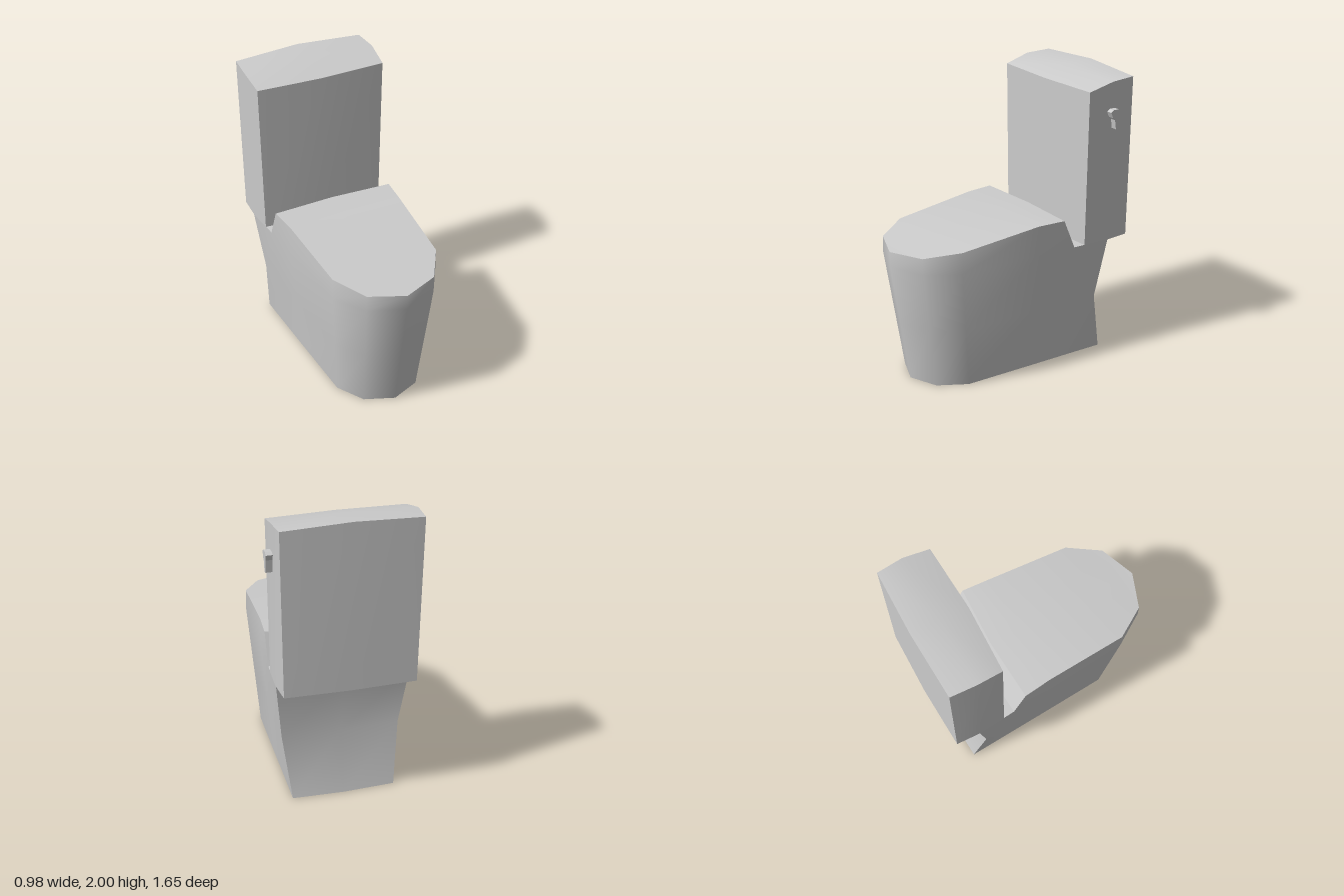
import * as THREE from 'three';
import { toCreasedNormals } from 'three/addons/utils/BufferGeometryUtils.js';

const CX = -0.02; // centre line of bowl and tank

const mirror = ([x, y, z]) => [-x, y, z];
const same = (a, b) => a.every((v, i) => v === b[i]);

// Closed loop from a half outline running front centre -> left side -> back centre
const loop = (half) => [...half, ...half.slice(0, -1).reverse().map(mirror)];

// Row across the model: right edge, centre, left edge
const across = (edge, cy = edge[1], cz = edge[2]) => [mirror(edge), [0, cy, cz], edge];

// Quads between neighbouring rows of points, skipping collapsed triangles
function skin(out, rows) {
  const tri = (a, b, c) => {
    if (!same(a, b) && !same(b, c) && !same(a, c)) out.push(...a, ...b, ...c);
  };
  for (let i = 0; i < rows.length - 1; i++) {
    for (let j = 0; j < rows[i].length - 1; j++) {
      const [a, b] = [rows[i][j], rows[i][j + 1]];
      const [d, c] = [rows[i + 1][j], rows[i + 1][j + 1]];
      tri(a, b, c);
      tri(a, c, d);
    }
  }
}

function toMesh(name, positions, material) {
  const geometry = new THREE.BufferGeometry();
  geometry.setAttribute('position', new THREE.Float32BufferAttribute(positions, 3));
  const mesh = new THREE.Mesh(toCreasedNormals(geometry, 0.8), material);
  mesh.name = name;
  mesh.position.x = CX;
  return mesh;
}

function makeBowl(material) {
  // Half outlines: tip, nose, shoulder, hinge, seat end, back corner, back centre
  const foot = [[0, 0, 0.69], [0.2, 0, 0.61], [0.31, 0, 0.42], [0.33, 0, -0.1],
    [0.339, 0, -0.37], [0.35, 0, -0.665], [0, 0, -0.68]];
  const rim = [[0, 0.85, 0.825], [0.245, 0.85, 0.73], [0.38, 0.85, 0.51], [0.415, 0.85, -0.08],
    [0.433, 0.85, -0.365], [0.45, 0.85, -0.64], [0, 0.85, -0.655]];
  const waist = foot.map((p, i) => p.map((v, k) => (v + rim[i][k]) / 2));
  waist[5][2] = -0.575;
  waist[6][2] = -0.59;
  const lid = [[0, 0.955, 0.825], [0.245, 0.965, 0.73], [0.38, 1, 0.51],
    [0.415, 1.06, -0.08], [0.433, 1.06, -0.275]];

  const out = [];
  skin(out, [foot, waist, rim].map(loop)); // outer wall, open underneath
  // Upper wall between rim and lid, both sides
  const rimFront = rim.slice(0, 5);
  skin(out, [rimFront, lid]);
  skin(out, [rimFront, lid].map((r) => r.map(mirror).reverse()));
  // Lid top, slope behind it, and the deck that carries the tank
  skin(out, [[lid[0], lid[0], lid[0]], across(lid[1]), across(lid[2]), across(lid[3]),
    across(lid[4], 1.06, -0.295), across(rim[4], 0.85, -0.387), across(rim[5], 0.85, -0.655)]);
  return toMesh('bowl', out, material);
}

function makeTank(material) {
  // Half outlines: front centre, front corner, side middle, back corner, back centre
  const base = [[0, 0.85, -0.43], [0.44, 0.85, -0.447], [0.452, 0.85, -0.63],
    [0.44, 0.85, -0.808], [0, 0.85, -0.82]];
  const top = [[0, 1.925, -0.425], [0.46, 1.925, -0.445], [0.473, 1.972, -0.63],
    [0.46, 1.978, -0.81], [0, 2, -0.825]];
  const out = [];
  skin(out, [base, top].map(loop));
  skin(out, [across(top[1], 1.925, -0.425), across(top[2], 1.988, -0.63), across(top[3], 2, -0.825)]);
  skin(out, [across(base[3], 0.85, -0.82), across(base[2]), across(base[1], 0.85, -0.43)]);
  return toMesh('tank', out, material);
}

function makeLever(material) {
  // Profile in (-z, y), extruded sideways out of the tank
  const profile = [[0.588, 1.775], [0.605, 1.735], [0.622, 1.72], [0.632, 1.655],
    [0.656, 1.655], [0.665, 1.74], [0.674, 1.775], [0.65, 1.79], [0.61, 1.79]];
  const shape = new THREE.Shape(profile.map(([u, y]) => new THREE.Vector2(u, y)));
  const geometry = new THREE.ExtrudeGeometry(shape, { depth: 0.06, bevelEnabled: false });
  const mesh = new THREE.Mesh(geometry, material);
  mesh.name = 'flushLever';
  mesh.rotation.y = Math.PI / 2;
  mesh.position.x = 0.43;
  return mesh;
}

export function createModel() {
  const ceramic = new THREE.MeshStandardMaterial({ color: 0xcccccc, side: THREE.DoubleSide });
  ceramic.name = 'ceramic';
  const group = new THREE.Group();
  group.name = 'toilet';
  group.add(makeBowl(ceramic), makeTank(ceramic), makeLever(ceramic));
  return group;
}
